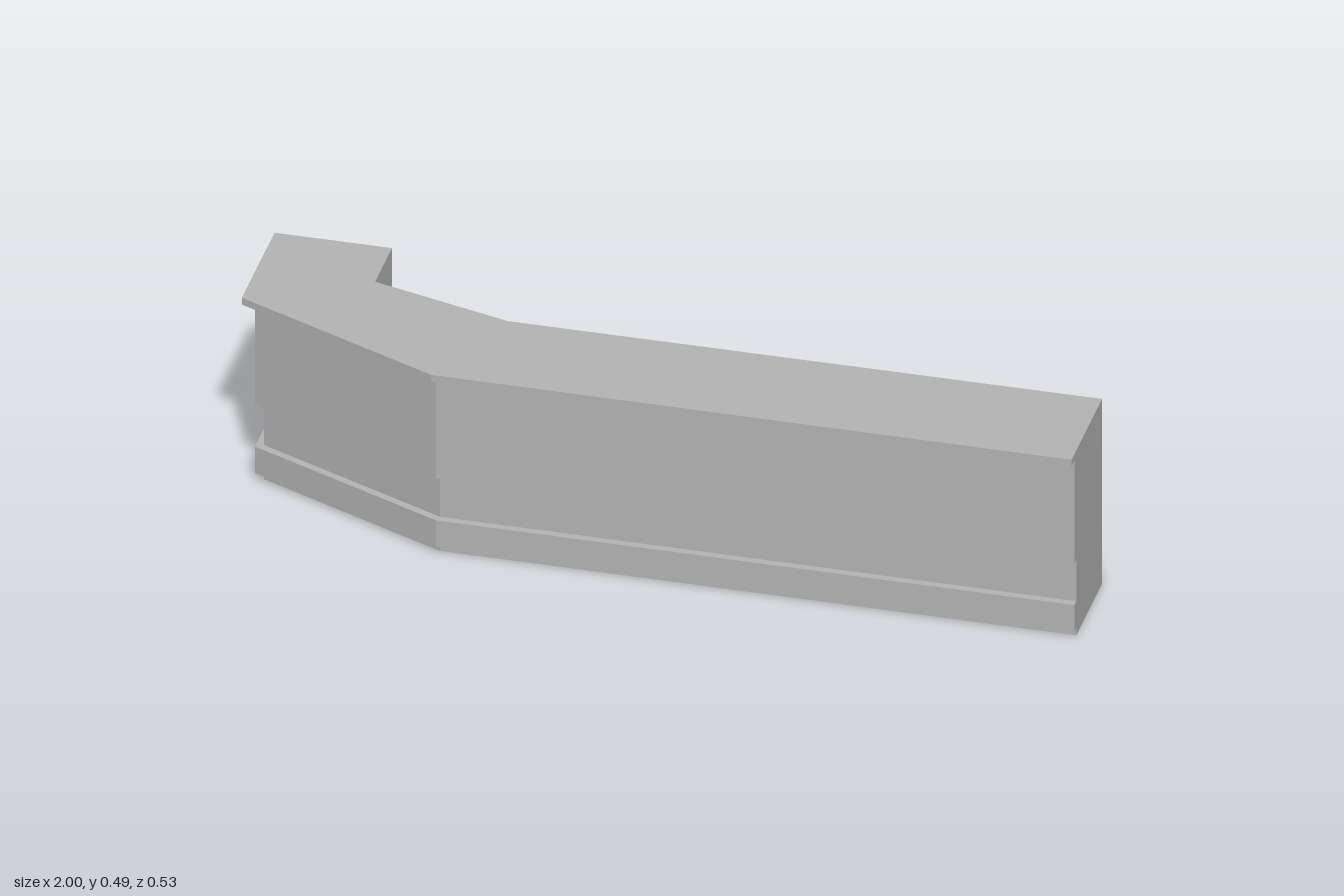
import * as THREE from 'three';

const HEIGHT = 0.488;

// Plan outline, walked clockwise: long front, angled front, end, then the plain back.
// The second pair is the direction in which the moulded profile steps inwards.
const outline = [
  [1, 0.264], [-0.5, 0.259], [-1, 0.034], [-1, -0.264],
  [-0.725, -0.264], [-0.725, -0.11], [-0.39, -0.015], [1, -0.015],
];

// Inward normal of the outline edge from point i to point i + 1
function edgeNormal(i) {
  const [ax, az] = outline[i], [bx, bz] = outline[i + 1];
  return new THREE.Vector2(-(bz - az), bx - ax).normalize();
}

// Mitred step directions for the front; square cut at both ends, none at the back
function stepDirection(i) {
  if (i === 0) return new THREE.Vector2(0, -1);
  if (i === 3) return new THREE.Vector2(1, 0);
  if (i > 3) return new THREE.Vector2(0, 0);
  const a = edgeNormal(i - 1), b = edgeNormal(i);
  return a.clone().add(b).divideScalar(1 + a.dot(b));
}
const steps = outline.map((_, i) => stepDirection(i));

// Point i of the outline, stepped in by d, at height y
function point(i, d, y) {
  const k = i % outline.length;
  return [outline[k][0] + steps[k].x * d, y, outline[k][1] + steps[k].y * d];
}

// Strip round the outline between two (inset, height) levels, top level first
function strip(top, bottom, edges) {
  const pos = [];
  for (let i = 0; i < edges; i++) {
    const a = point(i + 1, ...top), b = point(i + 1, ...bottom);
    const c = point(i, ...bottom), d = point(i, ...top);
    pos.push(...a, ...b, ...c, ...a, ...c, ...d);
  }
  const g = new THREE.BufferGeometry();
  g.setAttribute('position', new THREE.Float32BufferAttribute(pos, 3));
  g.computeVertexNormals();
  return g;
}

export function createModel() {
  const group = new THREE.Group();
  const grey = new THREE.MeshStandardMaterial({ color: 0xb4b4b4, side: THREE.DoubleSide });
  grey.name = 'plain grey';
  const add = (name, geometry) => {
    const mesh = new THREE.Mesh(geometry, grey);
    mesh.name = name;
    group.add(mesh);
  };

  // Wall bands from top to bottom: name, inset, top height, bottom height
  const bands = [
    ['corniceEdge', 0, HEIGHT, 0.47],
    ['upperWall', 0.026, 0.47, 0.2],
    ['recessedBand', 0.044, 0.2, 0.09],
    ['baseMoulding', 0.026, 0.09, 0.02],
    ['plinth', 0.044, 0.02, 0],
  ];
  bands.forEach(([name, inset, y1, y0], i) => {
    add(name, strip([inset, y1], [inset, y0], outline.length));
    // Ledge down to the next band, only along the moulded sides
    if (i < bands.length - 1) add(name + 'Ledge', strip([inset, y0], [bands[i + 1][1], y0], 3));
  });

  // Flat top; the underside stays open
  const shape = new THREE.Shape(outline.map(([x, z]) => new THREE.Vector2(x, -z)));
  add('top', new THREE.ShapeGeometry(shape).rotateX(-Math.PI / 2).translate(0, HEIGHT, 0));
  return group;
}
